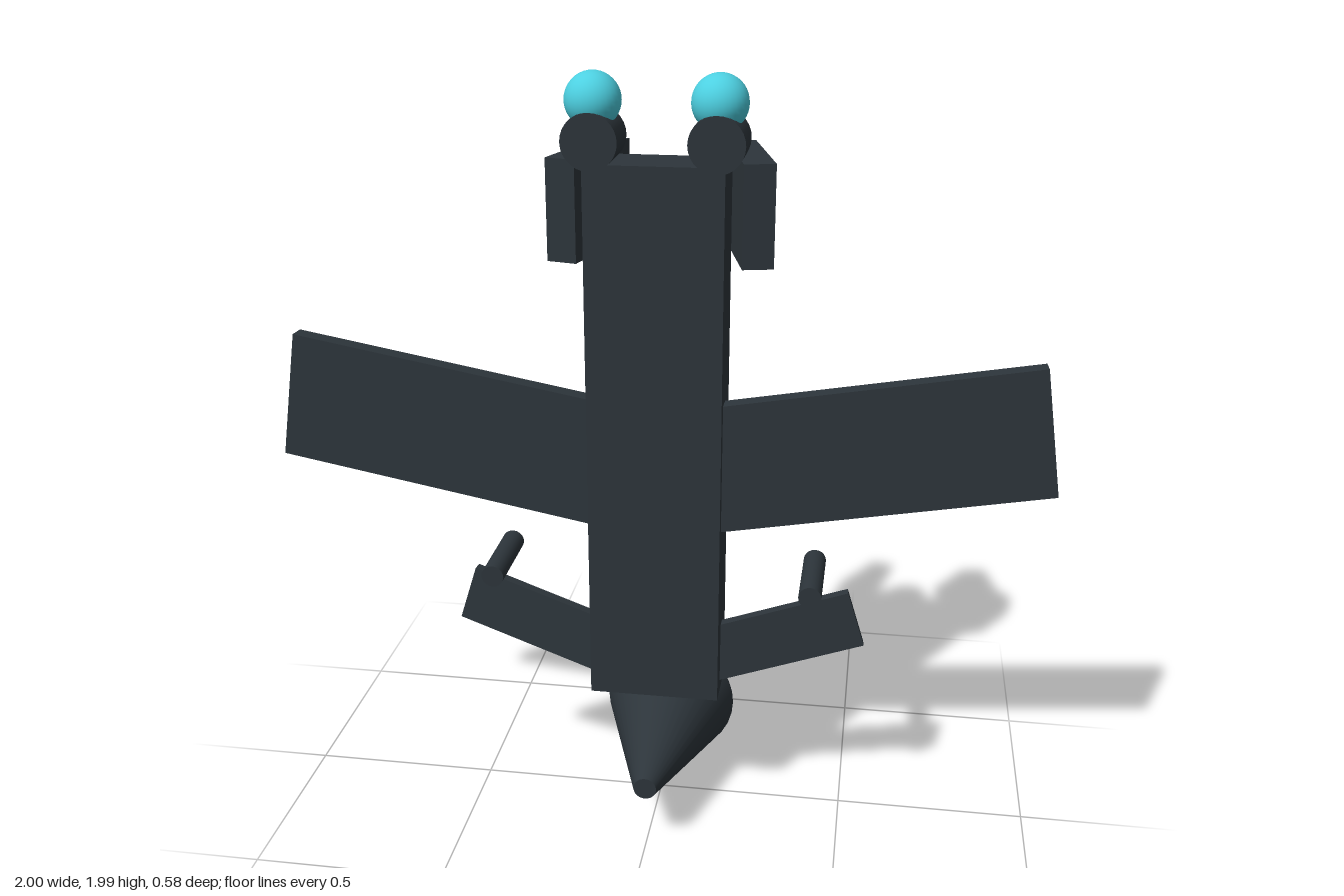
import * as THREE from 'three';

export function createModel() {
  const model = new THREE.Group();
  const paint = (name, color) => {
    const m = new THREE.MeshStandardMaterial({ color });
    m.name = name;
    return m;
  };
  const hull = paint('charcoal hull', 0x2d353b);
  const glow = paint('cyan glow', 0x4dd0e1);
  const canopy = paint('blue canopy', 0x55a5d8);

  const add = (name, geometry, material, x, y, z, rx = 0, ry = 0, rz = 0) => {
    const mesh = new THREE.Mesh(geometry, material);
    mesh.name = name;
    mesh.position.set(x, y, z);
    mesh.rotation.set(rx, ry, rz, 'ZYX');
    model.add(mesh);
    return mesh;
  };
  const box = (w, h, d) => new THREE.BoxGeometry(w, h, d);

  // Fuselage standing upright, with the detached nose cone below it
  add('fuselage', box(0.34, 1.41, 0.155), hull, 0, 1.085, 0.057);
  add('noseCone', new THREE.CylinderGeometry(0.03, 0.182, 0.47, 32), hull, 0, 0.19, 0.055, Math.PI / 2);

  // Canopy and spine light on the back
  add('canopy', box(0.22, 0.315, 0.08), canopy, 0, 0.672, -0.058);
  add('spineLight', box(0.05, 1.1, 0.022), glow, 0, 1.125, -0.133);

  // Mirrored parts
  for (const s of [1, -1]) {
    const side = s > 0 ? 'left' : 'right';
    // Swept wing with a light strip on its back
    add(side + 'Wing', box(0.85, 0.335, 0.045), hull, s * 0.555, 1.089, 0.064, 0, s * 0.05, s * 0.157);
    add(side + 'WingLight', box(0.66, 0.035, 0.018), glow, s * 0.535, 0.978, 0.026, 0, s * 0.01, s * 0.157);
    // Small lower fin
    add(side + 'Fin', box(0.45, 0.157, 0.028), hull, s * 0.308, 0.5375, 0.053, 0, s * 0.08, s * 0.305);
    // Upright tail panel, toed in towards the back
    add(side + 'TailPanel', box(0.078, 0.255, 0.333), hull, s * 0.203, 1.658, -0.12, 0, s * 0.24, 0);
    // Cannon
    add(side + 'Cannon', new THREE.CylinderGeometry(0.029, 0.029, 0.225, 20), hull, s * 0.407, 0.742, 0.102, Math.PI / 2);
    // Engine drum with a glowing ball on top
    add(side + 'Engine', new THREE.CylinderGeometry(0.068, 0.068, 0.13, 28), hull, s * 0.15, 1.843, 0.081, Math.PI / 2);
    add(side + 'EngineGlow', new THREE.SphereGeometry(0.068, 28, 20), glow, s * 0.15, 1.932, 0.081);
  }
  return model;
}
